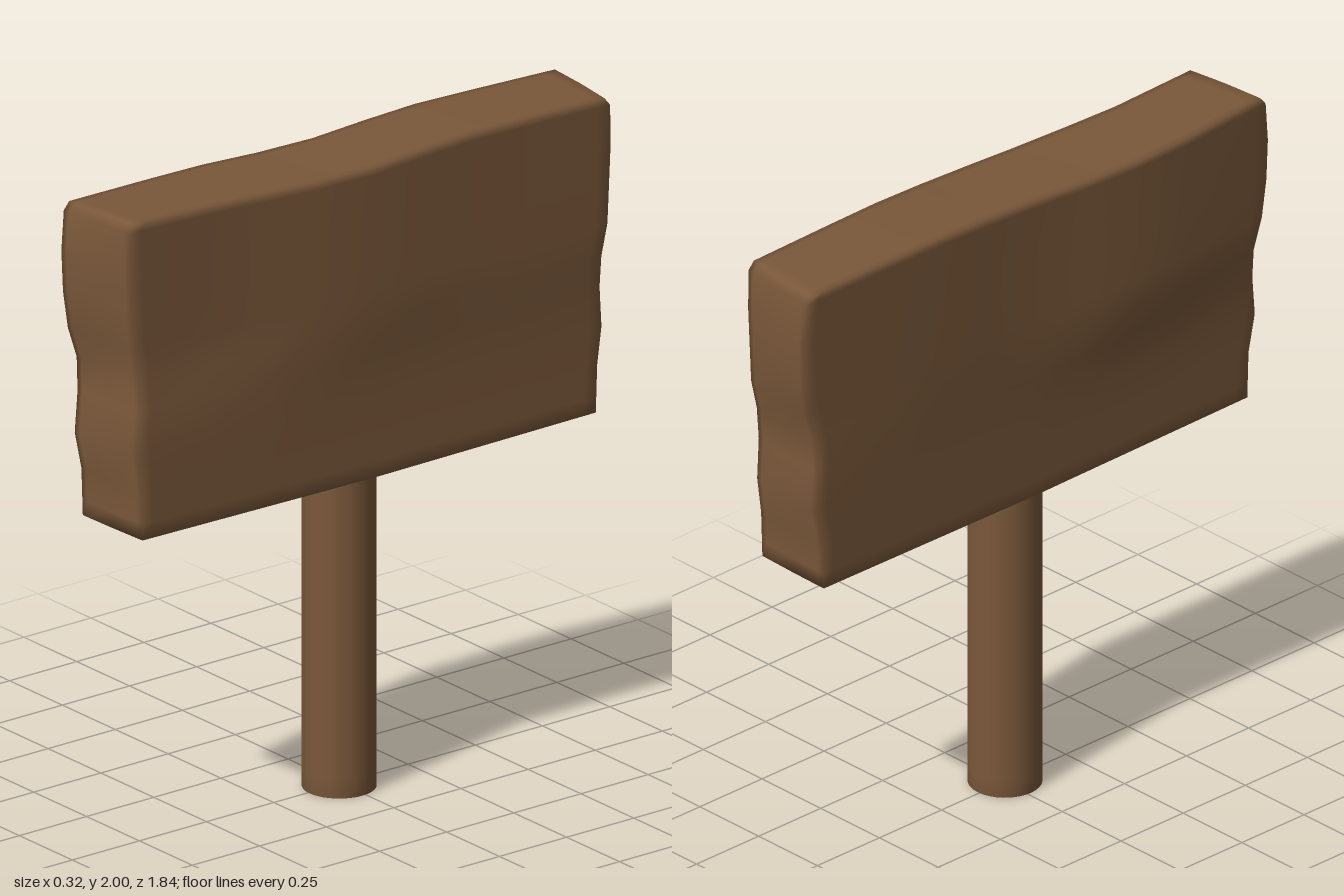
import * as THREE from 'three';
import { mergeVertices } from 'three/addons/utils/BufferGeometryUtils.js';

// Linear lookup through [position, value] pairs sorted by position
function sample(pairs, t) {
  if (t <= pairs[0][0]) return pairs[0][1];
  for (let i = 1; i < pairs.length; i++) {
    const [a, va] = pairs[i - 1], [b, vb] = pairs[i];
    if (t <= b) return va + (vb - va) * (t - a) / (b - a);
  }
  return pairs[pairs.length - 1][1];
}

// Grid lines of the board: close together near the edges so these stay crisp
const rowsX = [0, 0.08, 0.5, 0.92, 1];
const rowsY = [1.0, 1.05, 1.15, 1.27, 1.4, 1.5, 1.6, 1.72, 1.85, 1.975, 2.0];
const rowsZ = [-1, -0.95, -0.65, -0.43, -0.22, 0, 0.22, 0.43, 0.65, 0.95, 1];

// Ragged ends: distance from the middle along z for each height
const frontOuter = [[1, 0.86], [1.15, 0.865], [1.27, 0.89], [1.4, 0.875], [1.5, 0.868], [1.6, 0.9], [1.72, 0.918], [1.85, 0.924], [1.975, 0.915], [2, 0.895]];
const frontInner = [[1, 0.85], [1.15, 0.853], [1.27, 0.87], [1.4, 0.857], [1.5, 0.85], [1.6, 0.865], [1.85, 0.878], [1.975, 0.882], [2, 0.865]];
const backOuter = [[1, 0.845], [1.15, 0.852], [1.27, 0.878], [1.4, 0.868], [1.5, 0.868], [1.6, 0.902], [1.72, 0.914], [1.85, 0.92], [1.975, 0.908], [2, 0.89]];
const backInner = [[1, 0.837], [1.15, 0.842], [1.27, 0.858], [1.4, 0.848], [1.5, 0.848], [1.6, 0.87], [1.85, 0.882], [1.975, 0.88], [2, 0.86]];

// Wavy top and bottom edges, and the two broad faces, along z
const topEdge = [[-1, 1.99], [-0.65, 1.997], [-0.43, 2], [-0.22, 1.994], [0, 1.984], [0.22, 1.981], [0.65, 1.988], [1, 1.998]];
const bottomEdge = [[-1, 1.006], [0, 1], [1, 1.01]];
const upperLow = [[-1, -0.12], [-0.43, -0.135], [0, -0.135], [0.22, -0.15], [0.43, -0.165], [0.65, -0.164], [1, -0.148]];
const upperHigh = [[-1, 0.155], [-0.43, 0.155], [0, 0.16], [0.22, 0.15], [0.43, 0.135], [0.65, 0.122], [1, 0.12]];

function boardGeometry() {
  const g = new THREE.BoxGeometry(1, 1, 1, rowsX.length - 1, rowsY.length - 1, rowsZ.length - 1);
  const p = g.attributes.position;
  const row = (rows, v) => rows[Math.round((v + 0.5) * (rows.length - 1))];
  for (let i = 0; i < p.count; i++) {
    const u = row(rowsX, p.getX(i)), h = row(rowsY, p.getY(i)), w = row(rowsZ, p.getZ(i));
    // The upper half is bent, the lower half nearly straight
    const bend = THREE.MathUtils.smoothstep(h, 1.33, 1.53);
    const low = THREE.MathUtils.lerp(-0.128, sample(upperLow, w), bend);
    const high = THREE.MathUtils.lerp(0.142, sample(upperHigh, w), bend);
    const x = THREE.MathUtils.lerp(low, high, u);
    const base = sample(bottomEdge, w);
    const y = base + (h - 1) * (sample(topEdge, w) - base);
    const [outer, inner] = w > 0 ? [frontOuter, frontInner] : [backOuter, backInner];
    const reach = THREE.MathUtils.lerp(sample(outer, h), sample(inner, h), u * u * 0.6 + u * 0.4);
    p.setXYZ(i, x, y, w * reach);
  }
  g.deleteAttribute('normal');
  g.deleteAttribute('uv');
  const merged = mergeVertices(g, 1e-5);
  merged.computeVertexNormals();
  return merged;
}

export function createModel() {
  const model = new THREE.Group();
  model.name = 'woodenSign';
  const wood = new THREE.MeshStandardMaterial({ color: 0x7a583a });
  wood.name = 'brownWood';
  wood.side = THREE.DoubleSide;

  // Weathered board
  const board = new THREE.Mesh(boardGeometry(), wood);
  board.name = 'board';
  model.add(board);

  // Hollow round post with a small turned-in lip at the foot
  const profile = [[0.102, 0], [0.11, 0], [0.11, 0.06], [0.11, 1.03]];
  const post = new THREE.Mesh(
    new THREE.LatheGeometry(profile.map(([r, y]) => new THREE.Vector2(r, y)), 32), wood);
  post.name = 'post';
  post.position.set(0.007, 0, 0.012);
  model.add(post);

  return model;
}
